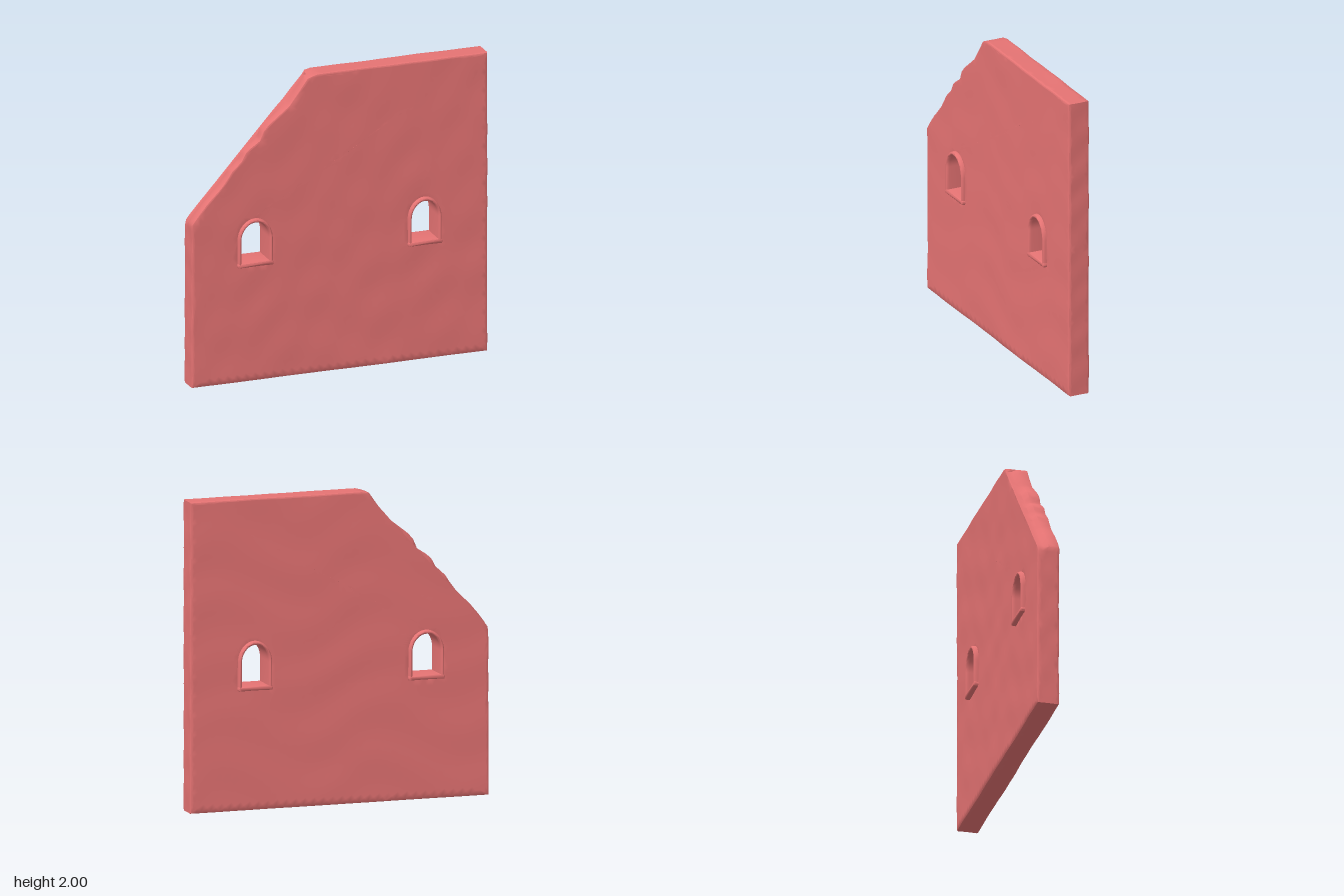
import * as THREE from 'three';
import { mergeVertices, toCreasedNormals } from 'three/addons/utils/BufferGeometryUtils.js';

const material = new THREE.MeshStandardMaterial({ color: 0xe57373, roughness: 0.9 });

// Smooth uneven plaster, roughly -1..1
function bumps(a, b, c) {
  return 0.45 * Math.sin(7 * a + 2.1 * Math.sin(5 * b + c)) * Math.cos(9 * b + 1.3 * c)
    + 0.35 * Math.sin(17 * b + 2 * Math.sin(6 * a) + c)
    + 0.2 * Math.sin(23 * a - 13 * b + 2 * c);
}

// Halve the longest edge of every triangle until all edges are short
function subdivide(geometry, limit) {
  const p = geometry.toNonIndexed ? (geometry.index ? geometry.toNonIndexed() : geometry).attributes.position : null;
  const out = [];
  const split = (a, b, c) => {
    const ab = a.distanceTo(b), bc = b.distanceTo(c), ca = c.distanceTo(a);
    const longest = Math.max(ab, bc, ca);
    if (longest < limit) return out.push(...a.toArray(), ...b.toArray(), ...c.toArray());
    if (longest === bc) [a, b, c] = [b, c, a];
    else if (longest === ca) [a, b, c] = [c, a, b];
    const m = a.clone().add(b).multiplyScalar(0.5);
    split(a, m, c);
    split(m, b, c);
  };
  const v = (i) => new THREE.Vector3().fromBufferAttribute(p, i);
  for (let i = 0; i < p.count; i += 3) split(v(i), v(i + 1), v(i + 2));
  const result = new THREE.BufferGeometry();
  result.setAttribute('position', new THREE.Float32BufferAttribute(out, 3));
  return mergeVertices(result, 1e-4);
}

// Round-headed opening: x centre, half width, sill, spring line, crown
function arch(Type, x, half, sill, spring, crown) {
  const path = new Type();
  path.moveTo(x - half, sill);
  path.lineTo(x + half, sill);
  path.lineTo(x + half, spring);
  path.absellipse(x, spring, half, crown - spring, 0, Math.PI, false);
  path.closePath();
  return path;
}

// Extrusion centred on z = 0 with rounded edges kept inside the outline
function slab(shape, thickness, bevelThickness, bevelSize) {
  const geometry = new THREE.ExtrudeGeometry(shape, {
    depth: thickness - 2 * bevelThickness, curveSegments: 14,
    bevelThickness, bevelSize, bevelOffset: -bevelSize, bevelSegments: 2,
  });
  return geometry.translate(0, 0, bevelThickness - thickness / 2);
}

function addMesh(parent, name, geometry) {
  const mesh = new THREE.Mesh(geometry, material);
  mesh.name = name;
  parent.add(mesh);
}

export function createModel() {
  const model = new THREE.Group();
  model.name = 'ruinedWall';
  const windows = [
    { name: 'rightWindow', x: -0.575, half: 0.095 },
    { name: 'leftWindow', x: 0.57, half: 0.09 },
  ];

  // Wall slab with a broken upper corner
  const outline = [
    [-1, 0], [1, 0], [1, 2], [-0.15, 2], [-0.19, 1.99], [-0.22, 1.975], [-0.28, 1.89], [-0.34, 1.81],
    [-0.41, 1.755], [-0.48, 1.7], [-0.515, 1.66], [-0.54, 1.6], [-0.6, 1.56], [-0.635, 1.53],
    [-0.665, 1.475], [-0.73, 1.415], [-0.755, 1.375], [-0.8, 1.315], [-0.9, 1.215], [-0.95, 1.155], [-1, 1.09],
  ];
  const wall = new THREE.Shape(outline.map(([x, y]) => new THREE.Vector2(x, y)));
  for (const w of windows) wall.holes.push(arch(THREE.Path, w.x, w.half + 0.01, 0.785, 0.95, 1.072));
  let geometry = subdivide(slab(wall, 0.142, 0.01, 0.01), 0.055);
  const p = geometry.attributes.position;
  for (let i = 0; i < p.count; i++) {
    let x = p.getX(i), y = p.getY(i), z = p.getZ(i);
    // The break is worn straighter on the rear side
    const beyond = -(x + 1) * 0.744 + (y - 1.085) * 0.668;
    if (z < 0 && beyond > -0.008 && x < -0.2) {
      x += 0.744 * (beyond + 0.008);
      y -= 0.668 * (beyond + 0.008);
    }
    // Uneven faces and ragged end edges
    if (Math.abs(x) > 0.98) x -= Math.sign(x) * 0.003 * (1 + bumps(z * 2, y * 1.6, x));
    if (y > 1.98) y -= 0.002 * (1 + bumps(x, z * 2, 1));
    z += 0.003 * bumps(x, y, z > 0 ? 0 : 2) + 0.002;
    p.setXYZ(i, x, y, z);
  }
  addMesh(model, 'wall', toCreasedNormals(geometry, 0.7));

  // Raised surround and sill, running through the wall
  for (const w of windows) {
    const group = new THREE.Group();
    group.name = w.name;
    const ring = arch(THREE.Shape, w.x, w.half + 0.022, 0.775, 0.95, 1.087);
    ring.holes.push(arch(THREE.Path, w.x, w.half, 0.797, 0.95, 1.062));
    addMesh(group, 'windowSurround', toCreasedNormals(slab(ring, 0.196, 0.022, 0.009), 0.9));

    const l = w.x - w.half - 0.02, r = w.x + w.half + 0.02;
    const sill = new THREE.Shape();
    sill.moveTo(l, 0.769);
    sill.quadraticCurveTo(w.x, 0.773, r, 0.769);
    sill.quadraticCurveTo(r + 0.01, 0.785, r, 0.797);
    sill.lineTo(l, 0.797);
    sill.quadraticCurveTo(l - 0.01, 0.785, l, 0.769);
    addMesh(group, 'windowSill', toCreasedNormals(slab(sill, 0.2, 0.012, 0.007), 0.9));
    model.add(group);
  }
  return model;
}
